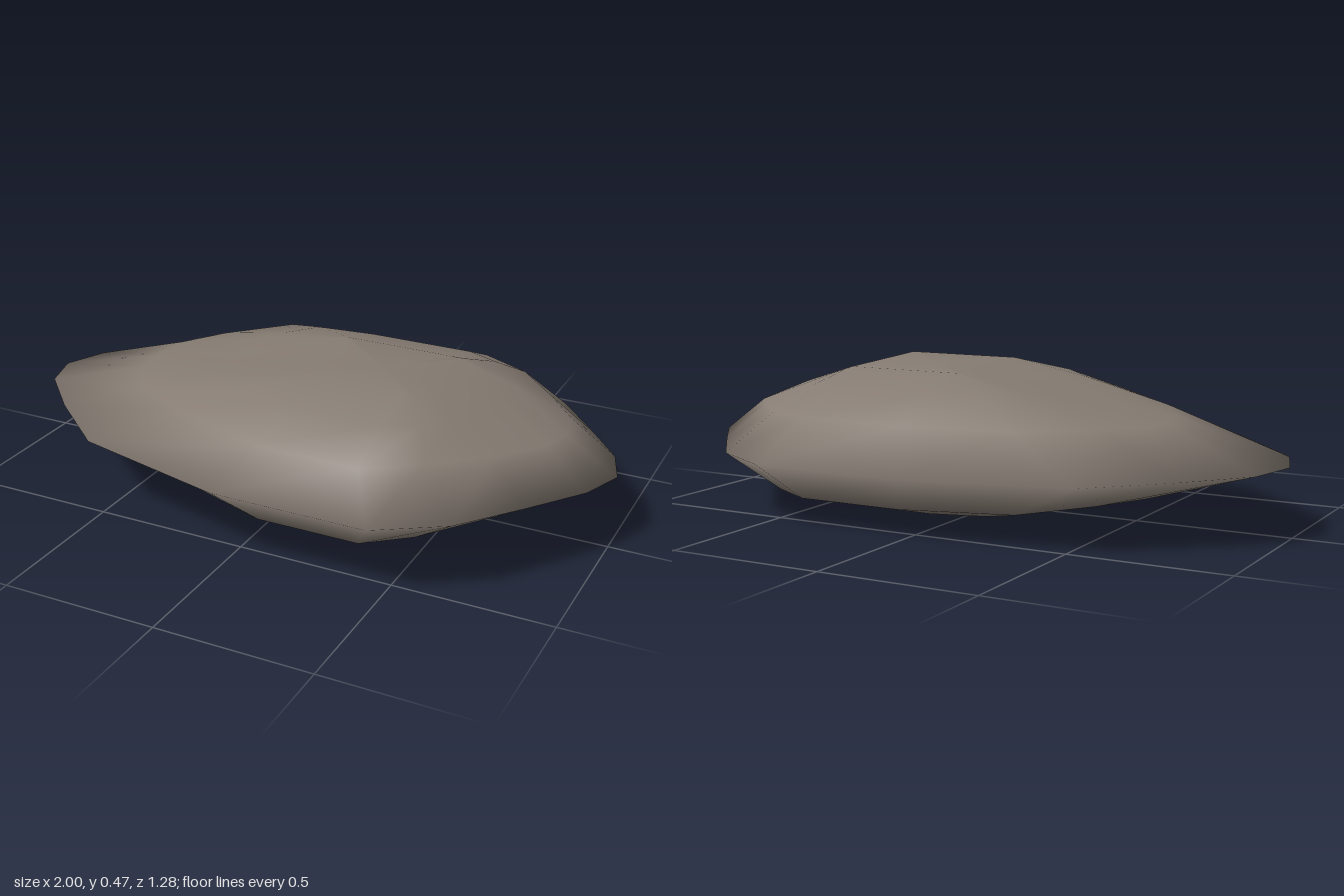
import * as THREE from 'three';
import { mergeVertices } from 'three/addons/utils/BufferGeometryUtils.js';

// Outline of the stone's rim, [x, z], counter-clockwise seen from above
const RIM = [
  [-0.54, 0.5], [-0.02, 0.64], [0.48, 0.64], [0.68, 0.5], [0.83, 0.29], [0.95, 0.11],
  [1, -0.04], [0.95, -0.19], [0.83, -0.35], [0.68, -0.54], [0.48, -0.645], [-0.02, -0.645],
  [-0.54, -0.54], [-0.78, -0.35], [-0.95, -0.19], [-1, -0.04], [-0.95, 0.11], [-0.78, 0.29],
];

// Shoulder where the steep band meets the upper face, [x, y, z]
const SHOULDER = [
  [-0.27, 0.36, 0.4], [0.07, 0.365, 0.515], [0.4, 0.365, 0.515], [0.55, 0.36, 0.4],
  [0.7, 0.345, 0.24], [0.81, 0.335, 0.08], [0.83, 0.325, -0.04], [0.81, 0.32, -0.17],
  [0.7, 0.325, -0.3], [0.56, 0.325, -0.45], [0.4, 0.33, -0.52], [0.05, 0.33, -0.52],
  [-0.32, 0.335, -0.47], [-0.5, 0.33, -0.3], [-0.6, 0.325, -0.17], [-0.62, 0.32, -0.04],
  [-0.6, 0.325, 0.08], [-0.5, 0.335, 0.25],
];

const clamp = THREE.MathUtils.clamp;

// Ring halfway between two others, bulged toward the front and back
const between = (a, b, bulge) => a.map((p, i) => {
  const q = b[i], z = (p[2] + q[2]) / 2;
  return [(p[0] + q[0]) / 2, (p[1] + q[1]) / 2 + bulge * Math.min(1, Math.abs(z) / 0.36), z];
});

// Skin over a stack of rings, closed by a fan at both ends
function loft(rings) {
  const n = rings[0].length, points = rings.flat(), index = [];
  for (let r = 0; r < rings.length - 1; r++) {
    for (let i = 0; i < n; i++) {
      const j = (i + 1) % n, a = r * n + i, b = r * n + j;
      index.push(a, b, b + n, a, b + n, a + n);
    }
  }
  [rings[0], rings[rings.length - 1]].forEach((ring, end) => {
    const c = points.length, base = end ? (rings.length - 1) * n : 0;
    points.push([0, 1, 2].map((k) => {
      const v = ring.map((p) => p[k]);
      return (Math.min(...v) + Math.max(...v)) / 2;
    }));
    for (let i = 0; i < n; i++) {
      const a = base + i, b = base + (i + 1) % n;
      if (end) index.push(c, a, b);
      else index.push(c, b, a);
    }
  });
  const raw = new THREE.BufferGeometry();
  raw.setAttribute('position', new THREE.Float32BufferAttribute(points.flat(), 3));
  raw.setIndex(index);
  const geometry = mergeVertices(raw, 1e-4);
  geometry.computeVertexNormals();
  return geometry;
}

export function createModel() {
  const stone = new THREE.MeshStandardMaterial({ color: 0x867c73 });
  stone.name = 'warm grey stone';

  // Gently tilted rim
  const rim = RIM.map(([x, z]) => [x, 0.22 + 0.04 * z, z]);

  // Upper side: shoulder rising to a small plateau
  const crown = SHOULDER.map(([x, , pz]) => {
    const z = clamp(pz, -0.18, 0.2);
    return [clamp(x, 0.04, 0.44), 0.458 + 0.04 * z, z];
  });

  // Underside: narrower on the right, sloping to its lowest point near the middle
  const belly = SHOULDER.map(([x, , z]) => [
    x > 0.5 ? 0.5 + (x - 0.5) * 0.55 : x,
    0.098 + 0.043 * z + 0.03 * Math.max(0, -x),
    z,
  ]);
  const foot = belly.map(([px, , pz]) => {
    const x = clamp(px, 0.04, 0.43), z = clamp(pz, -0.16, 0.22);
    return [x, 0.0064 + 0.04 * z + 0.1 * (x - 0.04), z];
  });

  const rock = new THREE.Mesh(loft([
    foot, between(foot, belly, -0.01), belly, rim,
    SHOULDER, between(SHOULDER, crown, 0.015), crown,
  ]), stone);
  rock.name = 'flatStone';

  const model = new THREE.Group();
  model.name = 'stone';
  model.add(rock);
  return model;
}
